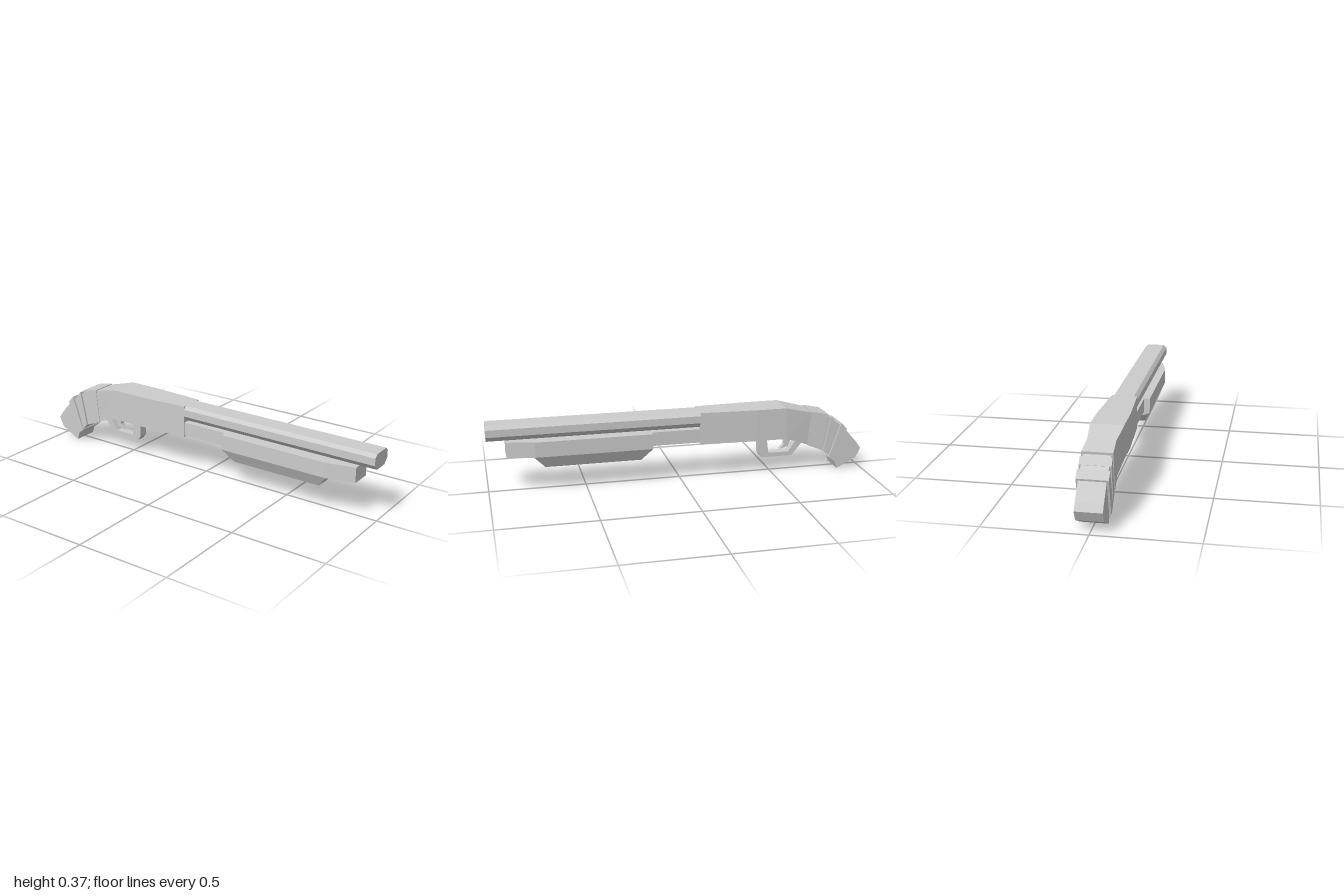
import * as THREE from 'three';
import { ConvexGeometry } from 'three/addons/geometries/ConvexGeometry.js';

const material = new THREE.MeshStandardMaterial({ color: 0xcccccc, flatShading: true });

// Skin equal-length rings of [x, y, z], ordered from rear to front, with end caps
function loft(rings) {
  const pos = [];
  const tri = (...points) => points.forEach(p => pos.push(...p));
  const n = rings[0].length;
  for (let s = 0; s < rings.length - 1; s++) {
    const a = rings[s], b = rings[s + 1];
    for (let i = 0; i < n; i++) {
      const j = (i + 1) % n;
      tri(a[i], a[j], b[i]);
      tri(a[j], b[j], b[i]);
    }
  }
  const first = rings[0], last = rings[rings.length - 1];
  for (let i = 1; i < n - 1; i++) {
    tri(first[0], first[i + 1], first[i]);
    tri(last[0], last[i], last[i + 1]);
  }
  const geometry = new THREE.BufferGeometry();
  geometry.setAttribute('position', new THREE.Float32BufferAttribute(pos, 3));
  geometry.computeVertexNormals();
  return geometry;
}

// Four-sided ring from its top edge, bottom edge and half width
const slice = ([xt, yt, xb, yb, w]) => [[xb, yb, w], [xb, yb, -w], [xt, yt, -w], [xt, yt, w]];
const slab = sections => loft(sections.map(slice));

// Flat side outline given a thickness across z
function plate(points, width) {
  const shape = new THREE.Shape(points.map(p => new THREE.Vector2(...p)));
  return new THREE.ExtrudeGeometry(shape, { depth: width, bevelEnabled: false }).translate(0, 0, -width / 2);
}

export function createModel() {
  const model = new THREE.Group();
  const add = (name, geometry, z = 0) => {
    const mesh = new THREE.Mesh(geometry, material);
    mesh.name = name;
    mesh.position.z = z;
    model.add(mesh);
  };

  // Receiver, narrowing towards the barrel and the grip
  add('receiver', slab([
    [-0.71, 0.332, -0.69, 0.155, 0.066],
    [-0.56, 0.37, -0.57, 0.2, 0.082],
    [-0.4, 0.37, -0.4, 0.2, 0.082],
    [-0.1, 0.37, -0.1, 0.2, 0.066],
  ]), -0.003);

  // Curved grip and its angled butt
  add('grip', slab([
    [-1, 0.112, -0.975, 0.06, 0.065],
    [-0.975, 0.147, -0.868, 0.005, 0.065],
    [-0.91, 0.22, -0.85, 0.056, 0.065],
    [-0.87, 0.255, -0.81, 0.09, 0.065],
    [-0.8, 0.305, -0.77, 0.128, 0.065],
    [-0.7, 0.332, -0.68, 0.158, 0.066],
  ]), -0.002);

  // Raised bands around the grip
  [
    [[-0.912, 0.23, -0.86, 0.042, 0.075], [-0.88, 0.264, -0.815, 0.075, 0.075]],
    [[-0.848, 0.272, -0.815, 0.085, 0.075], [-0.82, 0.304, -0.782, 0.115, 0.075]],
    [[-0.8, 0.318, -0.77, 0.12, 0.074], [-0.708, 0.337, -0.69, 0.152, 0.069]],
  ].forEach((sections, i) => add(`gripBand${i + 1}`, slab(sections), -0.002));

  // Eight-sided barrel
  const barrelRing = x => [
    [0.288, 0.04], [0.288, -0.04], [0.315, -0.065], [0.353, -0.065],
    [0.37, -0.048], [0.37, 0.048], [0.353, 0.065], [0.315, 0.065],
  ].map(([y, z]) => [x, y, z]);
  add('barrel', loft([barrelRing(-0.11), barrelRing(1)]), -0.002);

  // Magazine tube between receiver and fore-end
  add('magazineTube', slab([
    [-0.11, 0.28, -0.11, 0.207, 0.058],
    [0.17, 0.28, 0.17, 0.207, 0.058],
  ]));

  // Sliding fore-end, tapered at the front
  add('foreEnd', slab([
    [0.157, 0.28, 0.157, 0.2, 0.088],
    [0.76, 0.28, 0.76, 0.2, 0.088],
    [0.903, 0.28, 0.903, 0.2, 0.055],
  ]), 0.001);

  // Sloping hand hold under the fore-end
  const holdPoints = [];
  for (const side of [-1, 1]) {
    for (const [x, y, z] of [
      [0.157, 0.2, 0.088], [0.76, 0.2, 0.088], [0.763, 0.187, 0.055],
      [0.157, 0.187, 0.055], [0.215, 0.135, 0.055], [0.71, 0.135, 0.055],
    ]) holdPoints.push(new THREE.Vector3(x, y, z * side));
  }
  add('foreEndHold', new ConvexGeometry(holdPoints), 0.001);

  // Trigger guard loop and trigger
  add('triggerGuard', plate([
    [-0.69, 0.172], [-0.62, 0.085], [-0.45, 0.085], [-0.432, 0.11], [-0.43, 0.205],
    [-0.475, 0.205], [-0.488, 0.108], [-0.6, 0.108], [-0.652, 0.185],
  ], 0.046), -0.001);
  add('trigger', plate([
    [-0.62, 0.205], [-0.615, 0.17], [-0.6, 0.135], [-0.555, 0.12],
    [-0.578, 0.147], [-0.582, 0.205],
  ], 0.026), -0.001);

  return model;
}
